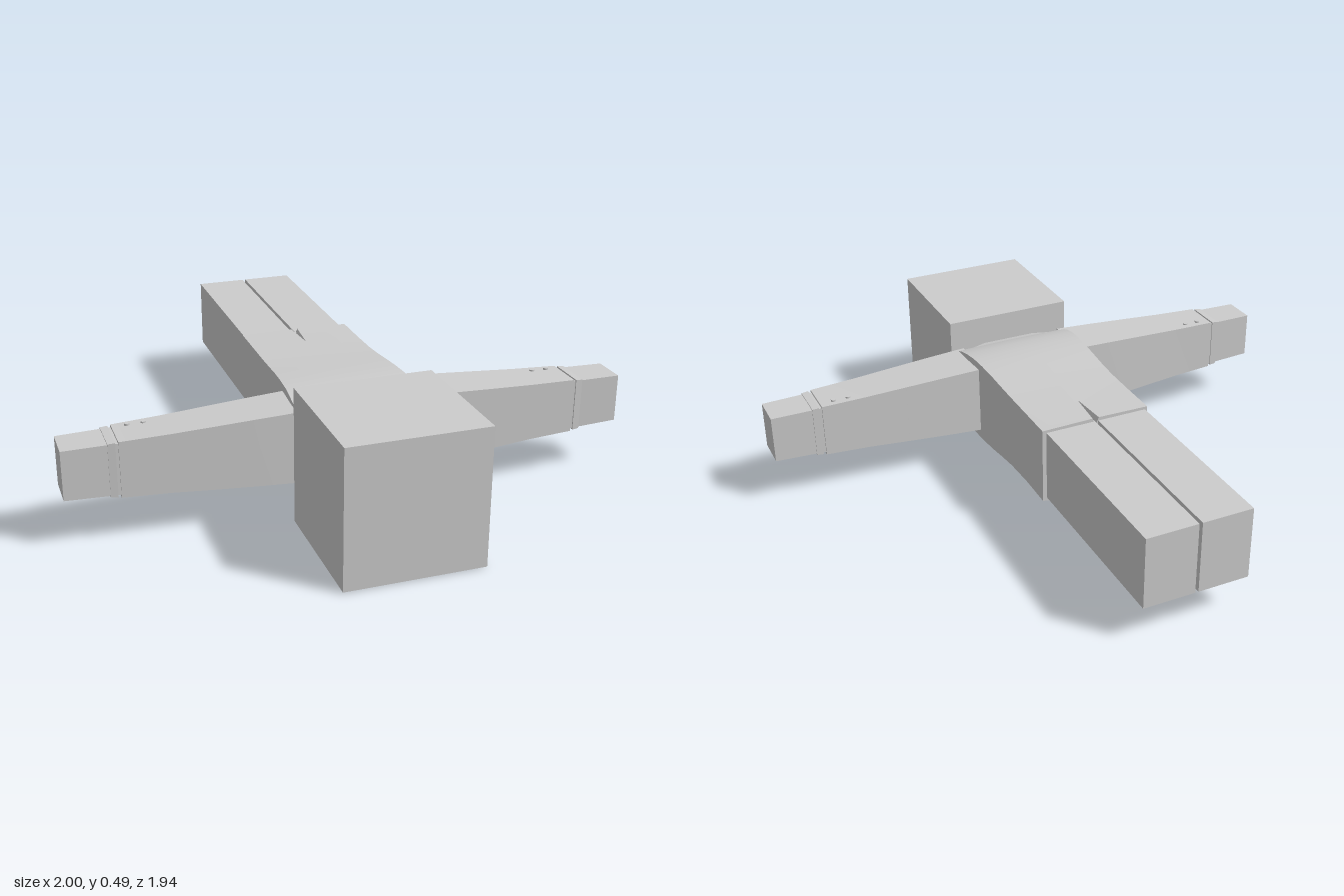
import * as THREE from 'three';
import { toCreasedNormals } from 'three/addons/utils/BufferGeometryUtils.js';

const material = new THREE.MeshStandardMaterial({ color: 0xcccccc });

function add(parent, name, geometry, x = 0, y = 0, z = 0) {
  const mesh = new THREE.Mesh(geometry, material);
  mesh.name = name;
  mesh.position.set(x, y, z);
  parent.add(mesh);
  return mesh;
}

// Box given by its minimum and maximum corners
function addBox(parent, name, [x0, y0, z0], [x1, y1, z1]) {
  return add(parent, name, new THREE.BoxGeometry(x1 - x0, y1 - y0, z1 - z0),
    (x0 + x1) / 2, (y0 + y1) / 2, (z0 + z1) / 2);
}

// Closed skin over equal-sized loops of [x, y, z] points, capped at both ends
function loft(loops) {
  const n = loops[0].length;
  const position = loops.flat(2);
  const index = [];
  for (let i = 0; i < loops.length - 1; i++) {
    for (let j = 0; j < n; j++) {
      const a = i * n + j, b = i * n + (j + 1) % n;
      index.push(a, b, b + n, a, b + n, a + n);
    }
  }
  [loops[0], loops[loops.length - 1]].forEach((loop, end) => {
    const start = end ? (loops.length - 1) * n : 0;
    const centre = position.length / 3;
    for (let k = 0; k < 3; k++) position.push(loop.reduce((s, p) => s + p[k], 0) / n);
    for (let j = 0; j < n; j++) {
      const a = start + j, b = start + (j + 1) % n;
      if (end) index.push(centre, a, b);
      else index.push(centre, b, a);
    }
  });
  const geometry = new THREE.BufferGeometry();
  geometry.setAttribute('position', new THREE.Float32BufferAttribute(position, 3));
  geometry.setIndex(index);
  return toCreasedNormals(geometry, 0.5);
}

// Rectangular limb along x; each section is [x, y0, y1, z0, z1]
function limb(side, sections) {
  const loops = sections.map(([x, y0, y1, z0, z1]) =>
    [[y0, z0], [y1, z0], [y1, z1], [y0, z1]].map(([y, z]) => [x * side, y, z]));
  return loft(side < 0 ? loops.reverse() : loops);
}

// Jacket body with rounded back and belly, and a vent at the hem
function jacket() {
  // z, half width, bottom, top, vent half width
  const sections = [
    [-0.27, 0.204, 0.105, 0.405, 0.012],
    [-0.13, 0.204, 0.108, 0.405, 0.001],
    [0, 0.205, 0.103, 0.406, 0.001],
    [0.08, 0.207, 0.095, 0.41, 0.001],
    [0.16, 0.21, 0.086, 0.416, 0.001],
    [0.24, 0.214, 0.082, 0.42, 0.001],
    [0.31, 0.218, 0.083, 0.42, 0.001],
    [0.37, 0.222, 0.089, 0.414, 0.001],
    [0.42, 0.224, 0.097, 0.403, 0.001],
    [0.458, 0.224, 0.108, 0.388, 0.001],
  ];
  return loft(sections.map(([z, w, y0, y1, v]) => {
    const dip = v > 0.005 ? 0.03 : 0;
    return [[w, y0 + 0.014], [w, y1 - 0.003], [v, y1], [0, y1 - dip], [-v, y1],
      [-w, y1 - 0.003], [-w, y0 + 0.014], [-0.12, y0], [0.12, y0]]
      .map(([x, y]) => [x, y, z]);
  }));
}

function createArm(side) {
  const arm = new THREE.Group();
  arm.name = side > 0 ? 'leftArm' : 'rightArm';
  add(arm, 'sleeve', limb(side, [
    [0.2, 0.13, 0.39, 0.268, 0.462],
    [0.35, 0.138, 0.383, 0.274, 0.458],
    [0.5, 0.147, 0.375, 0.281, 0.453],
    [0.65, 0.157, 0.367, 0.288, 0.447],
    [0.815, 0.163, 0.361, 0.295, 0.441],
  ]));
  add(arm, 'shirtCuff', limb(side, [
    [0.825, 0.166, 0.359, 0.297, 0.44],
    [0.85, 0.168, 0.357, 0.298, 0.438],
  ]));
  add(arm, 'hand', limb(side, [
    [0.8, 0.171, 0.354, 0.3, 0.436],
    [1, 0.177, 0.351, 0.306, 0.432],
  ]));
  for (const x of [0.71, 0.765]) {
    add(arm, 'cuffButton', new THREE.CylinderGeometry(0.009, 0.009, 0.012, 12),
      x * side, 0.364, 0.32);
  }
  return arm;
}

export function createModel() {
  const model = new THREE.Group();
  model.name = 'blockFigure';

  // Head, with eye panels on the downward-facing face
  addBox(model, 'head', [-0.245, 0.003, 0.487], [0.24, 0.49, 0.97]);
  for (const side of [1, -1]) {
    add(model, side > 0 ? 'leftEye' : 'rightEye', new THREE.BoxGeometry(0.14, 0.004, 0.12),
      -0.003 + side * 0.105, 0.002, 0.79);
  }

  // Torso and neck
  add(model, 'jacket', jacket());
  add(model, 'collar', loft([[0.455, 0.16, 0.112, 0.387], [0.488, 0.1, 0.13, 0.38]]
    .map(([z, w, y0, y1]) => [[w, y0, z], [w, y1, z], [-w, y1, z], [-w, y0, z]])));

  // Lapels lying on the chest
  for (const side of [1, -1]) {
    const shape = new THREE.Shape([
      new THREE.Vector2(0.01 * side, 0.3), new THREE.Vector2(0.1 * side, 0.4),
      new THREE.Vector2(0.08 * side, 0.465), new THREE.Vector2(0.045 * side, 0.465),
    ]);
    const lapel = new THREE.ExtrudeGeometry(shape, { depth: 0.015, bevelEnabled: false });
    lapel.rotateX(Math.PI / 2);
    // Follow the rise of the chest towards the neck
    const p = lapel.attributes.position;
    for (let i = 0; i < p.count; i++) {
      p.setY(i, p.getY(i) + 0.093 + Math.max(0, p.getZ(i) - 0.31) * 0.15);
    }
    lapel.computeVertexNormals();
    add(model, side > 0 ? 'leftLapel' : 'rightLapel', lapel);
  }

  // Legs, separated by a narrow gap
  for (const [name, x0, x1] of [['rightLeg', -0.195, -0.01], ['leftLeg', 0.002, 0.189]]) {
    addBox(model, name, [x0, 0.13, -0.97], [x1, 0.392, -0.26]);
  }

  // Arms
  for (const side of [1, -1]) model.add(createArm(side));

  return model;
}
